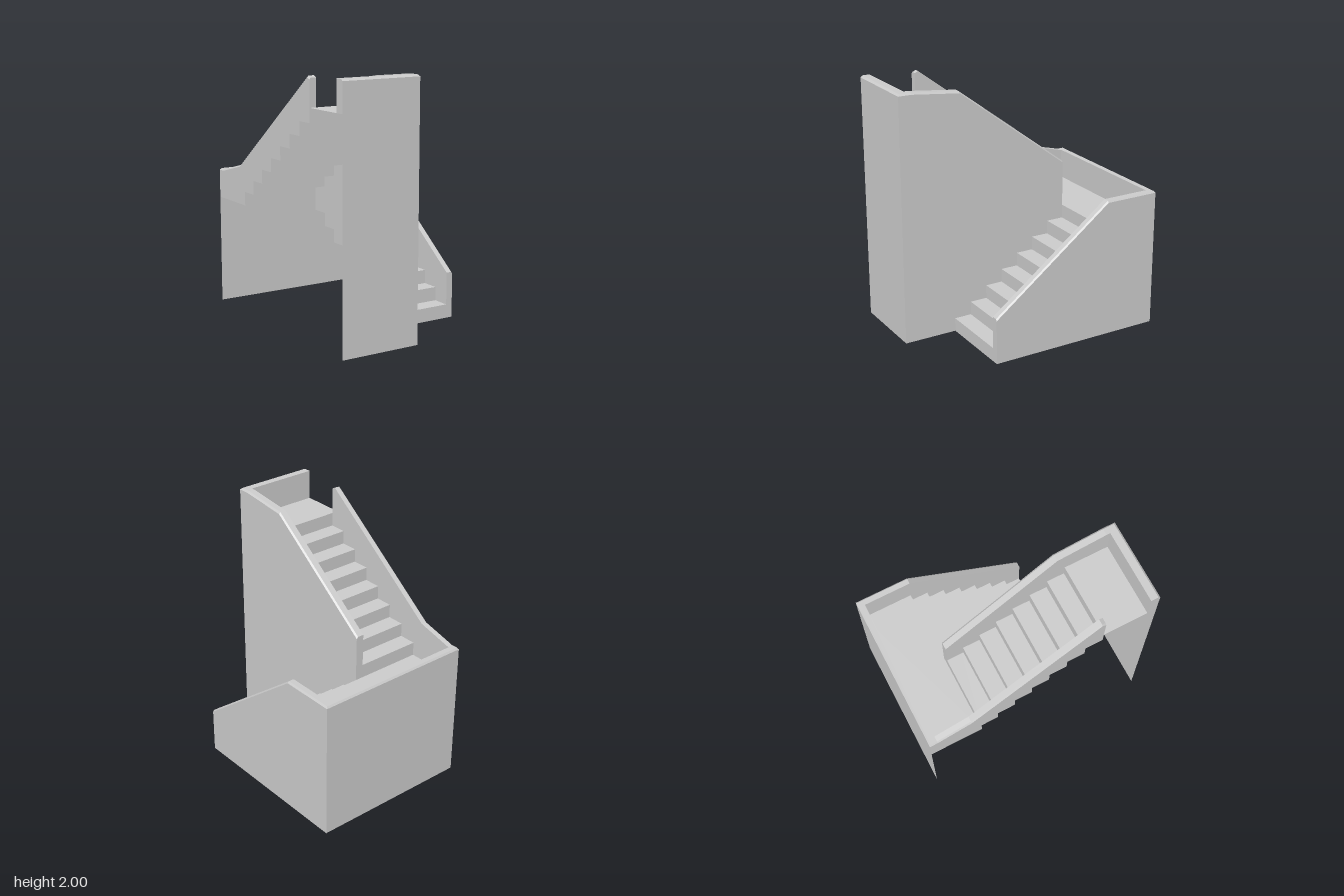
import * as THREE from 'three';

const W = 0.655, D = 0.935;          // outer half width and half depth
const RISE = 0.11, STEPS = 8, MID = RISE * STEPS, TOP = MID * 2;
const material = new THREE.MeshStandardMaterial({ color: 0xcccccc, side: THREE.DoubleSide, flatShading: true });

// Stepped line [z, y] of one flight, ending at its last riser
function stepLine(z0, dir, y0) {
  const pts = [];
  for (let i = 0; i < STEPS; i++) {
    const z = z0 + dir * i / (STEPS - 1);
    pts.push([z, y0 + i * RISE], [z, y0 + (i + 1) * RISE]);
  }
  return pts;
}

// Height of a polyline [z, y] at z
function heightAt(line, z) {
  for (let i = 1; i < line.length; i++) {
    const [a, ya] = line[i - 1], [b, yb] = line[i];
    if (z >= Math.min(a, b) - 1e-6 && z <= Math.max(a, b) + 1e-6) return ya + (yb - ya) * (z - a) / (b - a);
  }
  return line[line.length - 1][1];
}

// Insert the bends of the rail line into the stepped line
function withBends(base, rail) {
  const out = [base[0]];
  for (let i = 1; i < base.length; i++) {
    const [a] = base[i - 1], [b, y] = base[i];
    rail.filter(([z]) => (z - a) * (z - b) < -1e-6)
      .sort((p, q) => (p[0] - q[0]) * Math.sign(b - a))
      .forEach(([z]) => out.push([z, y]));
    out.push([b, y]);
  }
  return out;
}

function meshFrom(geometry, name) {
  const mesh = new THREE.Mesh(geometry, material);
  mesh.name = name;
  return mesh;
}

// Skin a row of cross-sections with flat quads; optional end caps
function loft(sections, name, caps) {
  const pos = [];
  const tri = (a, b, c) => pos.push(...a, ...b, ...c);
  for (let i = 1; i < sections.length; i++) {
    const p = sections[i - 1], q = sections[i];
    for (let j = 1; j < p.length; j++) {
      tri(p[j - 1], q[j - 1], q[j]);
      tri(p[j - 1], q[j], p[j]);
    }
  }
  if (caps) {
    const first = sections[0], last = sections[sections.length - 1];
    for (let j = 2; j < first.length; j++) {
      tri(first[0], first[j - 1], first[j]);
      tri(last[0], last[j], last[j - 1]);
    }
  }
  const g = new THREE.BufferGeometry();
  g.setAttribute('position', new THREE.Float32BufferAttribute(pos, 3));
  g.computeVertexNormals();
  return meshFrom(g, name);
}

// Parapet cross-section with a chamfered outer top edge
function section(ox, oz, ix, iz, bottom, top) {
  const k = 0.2;
  return [
    [ix, bottom, iz], [ix, top, iz],
    [ox + (ix - ox) * k, top, oz + (iz - oz) * k],
    [ox, top - 0.014, oz], [ox, bottom, oz],
  ];
}

// Thin treads and risers across a flight
const treads = (x0, x1, line, name) => loft(line.map(([z, y]) => [[x0, y, z], [x1, y, z]]), name);

// Thin upright sheet in the z-y plane
function sideSheet(x, outline, name) {
  const g = new THREE.ShapeGeometry(new THREE.Shape(outline.map(([z, y]) => new THREE.Vector2(-z, y))));
  g.rotateY(Math.PI / 2);
  const mesh = meshFrom(g, name);
  mesh.position.x = x;
  return mesh;
}

// Thin upright sheet facing front or back
function crossSheet(x0, x1, h, z, name) {
  const mesh = meshFrom(new THREE.PlaneGeometry(x1 - x0, h), name);
  mesh.position.set((x0 + x1) / 2, h / 2, z);
  return mesh;
}

export function createModel() {
  const group = new THREE.Group();
  const lower = stepLine(0.5, -1, 0), upper = stepLine(-0.5, 1, MID);

  // Flights and landings
  group.add(treads(0, W, lower, 'lowerFlight'));
  group.add(treads(-W, W, [[-0.5, MID], [-D, MID]], 'middleLanding'));
  group.add(treads(-W, 0, upper, 'upperFlight'));
  group.add(treads(-W, 0, [[0.5, TOP], [D, TOP]], 'topLanding'));

  // Outer parapet: up the lower flight, round the back, up the upper flight
  const inX = 0.6, inZ = -0.88;
  const rightRail = [[0.5, 0.37], [-0.49, 1.12], [-D, 1.12]];
  const leftRail = [[-D, 1.12], [-0.87, 1.12], [-0.58, 1.195], [0.47, 1.988], [0.5, 1.975]];
  const rightBase = withBends([...lower, [inZ, MID]], rightRail);
  const leftBase = withBends([[inZ, MID], ...upper.slice(0, -1)], leftRail);
  const outer = [];
  for (const [z, y] of rightBase) {
    const corner = z === inZ;
    outer.push(section(W, corner ? -D : z, inX, z, y, heightAt(rightRail, z)));
  }
  for (const [z, y] of leftBase) {
    const corner = z === inZ;
    outer.push(section(-W, corner ? -D : z, -inX, z, y, corner ? 1.12 : heightAt(leftRail, z)));
  }
  group.add(loft(outer, 'outerParapet', true));

  // Inner parapet: along the front, then down between the flights
  const innerRail = [[D, 2], [0.83, 2], [0.43, 1.956], [-0.5, 1.255]];
  const innerBase = withBends([[0.86, TOP], ...upper.slice().reverse()], innerRail);
  const inner = [section(-W, D, -W, 0.86, TOP, 2)];
  for (const [z, y] of innerBase) {
    const corner = z === 0.86;
    inner.push(section(0, corner ? D : z, -0.065, z, y, corner ? 2 : heightAt(innerRail, z)));
  }
  group.add(loft(inner, 'innerParapet', true));

  // Thin walls below the parapets
  group.add(sideSheet(W, [...lower, [-D, MID], [-D, 0]], 'rightWall'));
  group.add(sideSheet(0, [...upper, [D, TOP], [D, 0], ...lower.slice(0, -1)], 'middleWall'));
  group.add(crossSheet(-W, W, MID, -D, 'backWall'));
  group.add(crossSheet(-W, 0, TOP, D, 'frontWall'));
  return group;
}
